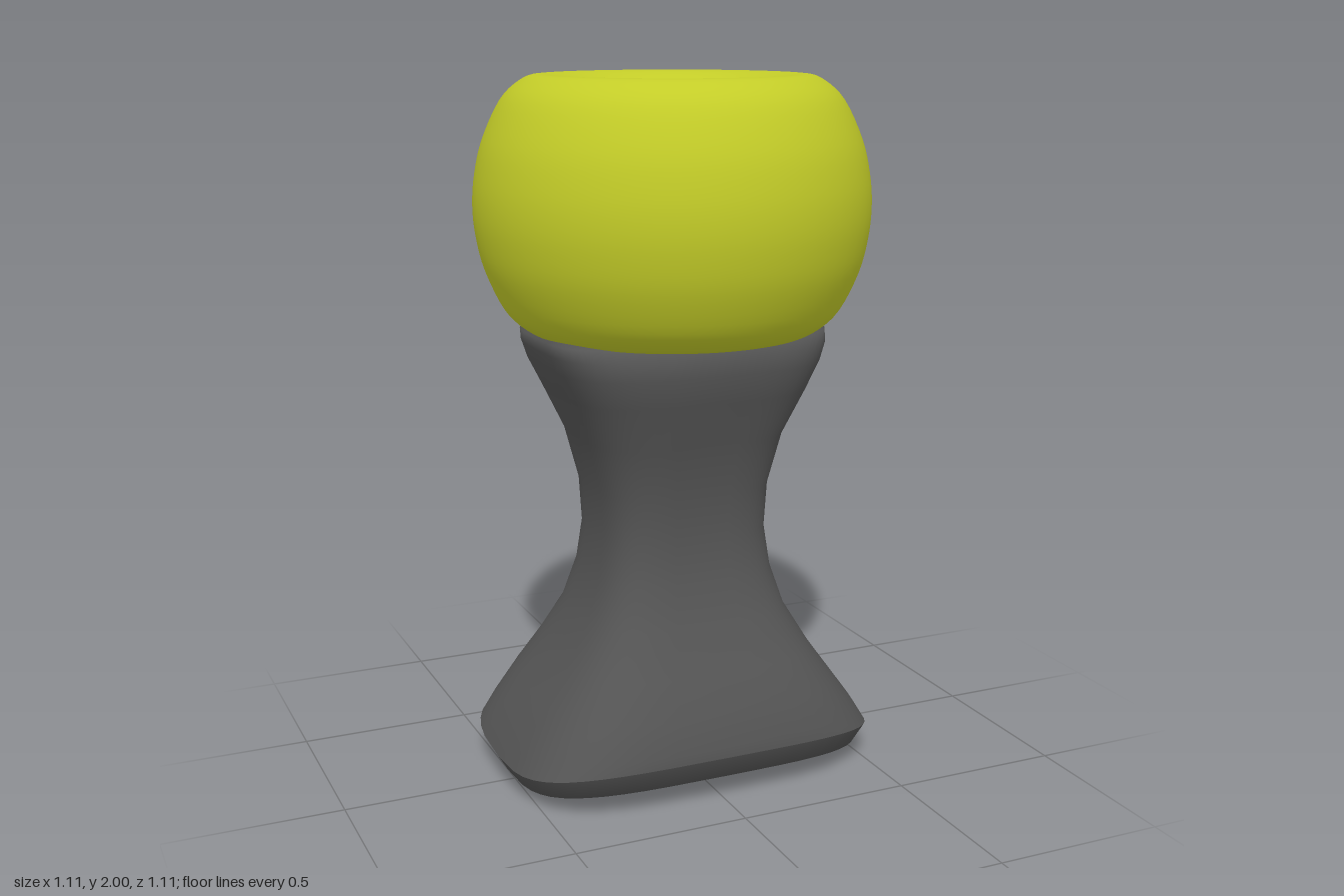
import * as THREE from 'three';

const SEG = 48;

// Superellipse ring; w is 0 at the x ends and 1 on the front and back sides
function ring(a, b, y, lift = 0, n = 3.6) {
  const pts = [];
  for (let i = 0; i < SEG; i++) {
    const t = (i / SEG) * Math.PI * 2, c = Math.cos(t), s = Math.sin(t);
    const x = Math.sign(c) * Math.abs(c) ** (2 / n);
    const z = Math.sign(s) * Math.abs(s) ** (2 / n);
    pts.push(x * a, y + lift * z * z, z * b);
  }
  return pts;
}

// Skin through rings listed from bottom to top
function loft(rings) {
  const index = [];
  for (let r = 0; r < rings.length - 1; r++) {
    for (let i = 0; i < SEG; i++) {
      const j = (i + 1) % SEG;
      const p = r * SEG + i, q = r * SEG + j;
      index.push(p, p + SEG, q, q, p + SEG, q + SEG);
    }
  }
  const geo = new THREE.BufferGeometry();
  geo.setAttribute('position', new THREE.Float32BufferAttribute(rings.flat(), 3));
  geo.setIndex(index);
  geo.computeVertexNormals();
  return geo;
}

export function createModel() {
  const model = new THREE.Group();
  const dark = new THREE.MeshStandardMaterial({ color: 0x555555 });
  const yellow = new THREE.MeshStandardMaterial({ color: 0xc3cc28 });
  const add = (name, geo, mat) => {
    const mesh = new THREE.Mesh(geo, mat);
    mesh.name = name;
    model.add(mesh);
  };

  // Waisted stem: half width, half depth, height
  const rim = ring(0.55, 0.402, 0.08, 0.06);
  const sections = [
    [0.505, 0.4, 0.17], [0.44, 0.375, 0.26], [0.37, 0.325, 0.36], [0.3, 0.265, 0.48],
    [0.262, 0.227, 0.6], [0.245, 0.212, 0.72], [0.252, 0.22, 0.85], [0.29, 0.25, 1.0],
    [0.35, 0.3, 1.13], [0.39, 0.317, 1.21], [0.408, 0.316, 1.26], [0.415, 0.295, 1.295],
    [0.38, 0.26, 1.31], [0.001, 0.001, 1.32],
  ];
  add('stem', loft([rim, ...sections.map(s => ring(...s))]), dark);

  // Underside, bowed from front to back, with a crease at the rim
  add('footUnderside', loft([
    ring(0.001, 0.001, 0), ring(0.28, 0.19, 0.003, 0.025),
    ring(0.45, 0.31, 0.014, 0.035), ring(0.52, 0.37, 0.03, 0.04), rim,
  ]), dark);

  // Round knob, dimpled above and below, mirrored about its middle
  const half = [
    [0, -0.23], [0.1, -0.245], [0.2, -0.295], [0.3, -0.341], [0.37, -0.355],
    [0.42, -0.338], [0.475, -0.285], [0.525, -0.18], [0.548, -0.085],
  ];
  const profile = [...half, [0.555, 0], ...half.map(([r, y]) => [r, -y]).reverse()];
  const curve = new THREE.SplineCurve(profile.map(([r, y]) => new THREE.Vector2(r, y)));
  const points = curve.getPoints(72);
  points.forEach(p => { p.x = Math.max(0, p.x); });
  const knob = new THREE.LatheGeometry(points, 64);
  knob.translate(0, 1.645, 0);
  add('knob', knob, yellow);

  return model;
}
